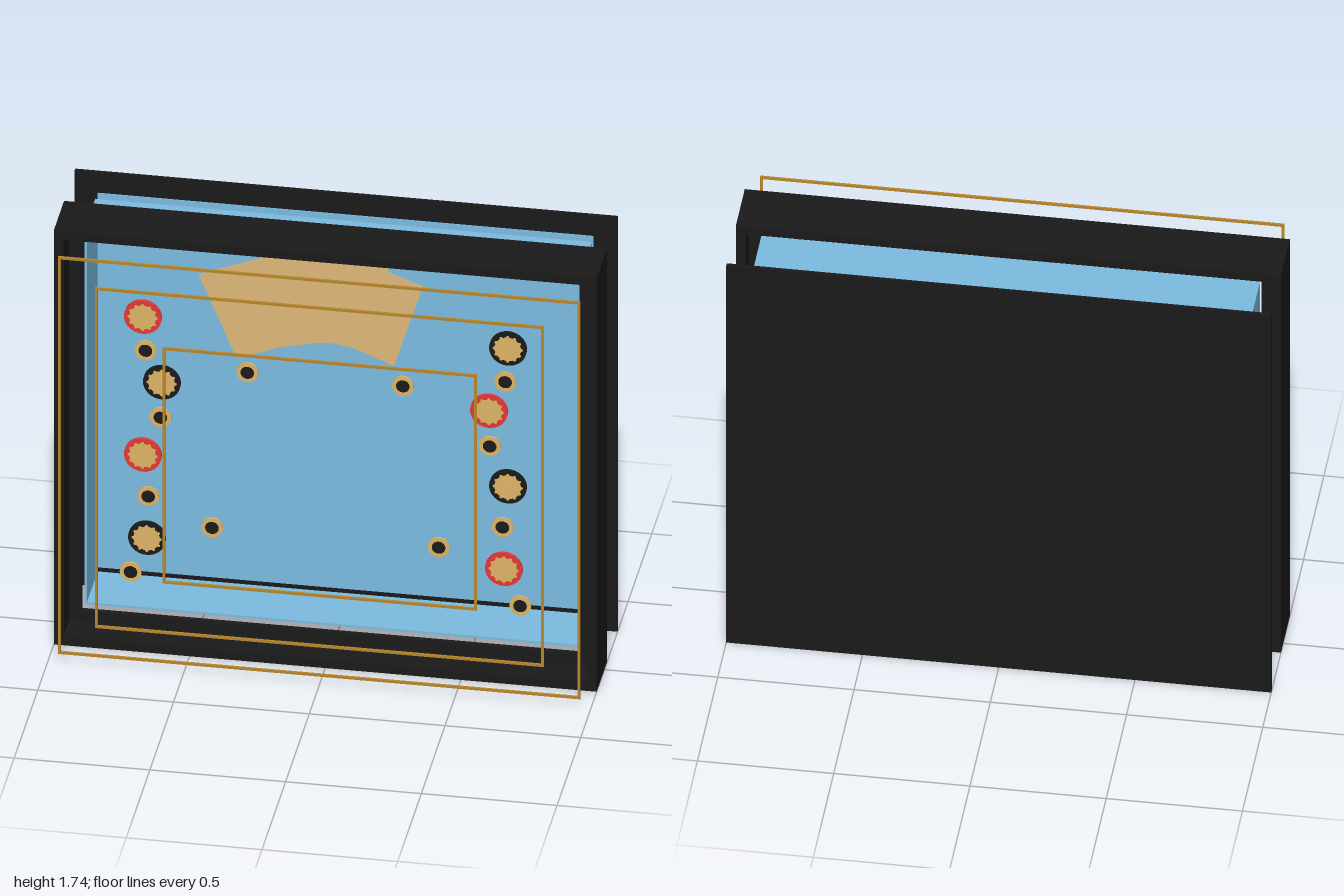
import * as THREE from 'three';

const mat = (name, color) => {
  const m = new THREE.MeshStandardMaterial({ color });
  m.name = name;
  return m;
};

export function createModel() {
  const black = mat('black', 0x1a1a1a);
  const blue = mat('light blue', 0x7dbde2);
  const tan = mat('tan', 0xdfb87a);
  const gold = mat('gold', 0xe0b566);
  const wire = mat('dark gold', 0xb8862b);
  const red = mat('red', 0xe53935);

  const model = new THREE.Group();
  model.name = 'layeredBox';

  const add = (name, geometry, material, x = 0, y = 0, z = 0, parent = model) => {
    const mesh = new THREE.Mesh(geometry, material);
    mesh.name = name;
    mesh.position.set(x, y, z);
    parent.add(mesh);
    return mesh;
  };

  const rect = (Kind, hx, y0, y1) => {
    const r = new Kind();
    r.moveTo(-hx, y0);
    r.lineTo(hx, y0);
    r.lineTo(hx, y1);
    r.lineTo(-hx, y1);
    r.closePath();
    return r;
  };

  // Rectangular border of bar width w, from z0 forward to z1
  const border = (name, hx, y0, y1, w, z0, z1, material) => {
    const shape = rect(THREE.Shape, hx, y0, y1);
    shape.holes.push(rect(THREE.Path, hx - w, y0 + w, y1 - w));
    const g = new THREE.ExtrudeGeometry(shape, { depth: z1 - z0, bevelEnabled: false });
    return add(name, g, material, 0, 0, z0);
  };

  // Front frame: thin deep wall with a narrow lip set back inside it
  border('frameWall', 1, 0, 1.735, 0.036, -0.055, 0.163, black);
  border('frameLip', 0.98, 0.02, 1.715, 0.063, 0.028, 0.045, black);

  // Box sides, panel and back plate
  border('boxSides', 0.915, 0.085, 1.655, 0.009, -0.226, 0, blue);
  add('panel', new THREE.BoxGeometry(1.826, 1.568, 0.004), blue, 0, 0.871, -0.269);
  add('backPlate', new THREE.BoxGeometry(2, 1.735, 0.014), black, 0, 0.8675, -0.286);

  // Thin wire outlines floating in front
  border('outerWire', 0.962, 0.038, 1.702, 0.01, 0.285, 0.293, wire);
  border('middleWire', 0.827, 0.157, 1.583, 0.01, 0.28, 0.288, wire);
  border('innerWire', 0.579, 0.365, 1.353, 0.01, 0.274, 0.282, wire);

  // Fan-shaped scale plate with a stepped top edge, tucked behind the lip
  const fan = new THREE.Shape();
  [[-0.49, 1.525], [-0.35, 1.187], [-0.2, 1.245], [-0.07, 1.278], [0, 1.285], [0.07, 1.275],
    [0.23, 1.213], [0.336, 1.555], [0.21, 1.6], [0.21, 1.618], [0.09, 1.635], [0.085, 1.67],
    [-0.155, 1.67], [-0.157, 1.625], [-0.26, 1.615], [-0.375, 1.57]]
    .forEach(([x, y], i) => (i ? fan.lineTo(x, y) : fan.moveTo(x, y)));
  add('scalePlate', new THREE.ExtrudeGeometry(fan, { depth: 0.003, bevelEnabled: false }),
    tan, 0, 0, 0.025);

  // Upright disc facing forward
  const disc = (r, depth, sides = 32) =>
    new THREE.CylinderGeometry(r, r, depth, sides).rotateX(Math.PI / 2);

  // Terminals: coloured collar, gold face, ring of studs and a centre boss
  const collar = disc(0.069, 0.012);
  const face = disc(0.049, 0.015);
  const stud = disc(0.006, 0.015, 8);
  const boss = disc(0.02, 0.02, 24);
  [[-0.675, 1.395, red], [0.67, 1.395, black], [-0.605, 1.127, black], [0.6, 1.127, red],
    [-0.675, 0.817, red], [0.67, 0.817, black], [-0.66, 0.47, black], [0.655, 0.47, red]]
    .forEach(([x, y, colour]) => {
      const terminal = new THREE.Group();
      terminal.name = 'terminal';
      terminal.position.set(x, y, 0.143);
      model.add(terminal);
      add('collar', collar, colour, 0, 0, 0, terminal);
      add('face', face, gold, 0, 0, 0, terminal);
      add('boss', boss, gold, 0, 0, 0, terminal);
      for (let i = 0; i < 12; i++) {
        const a = (i / 12) * Math.PI * 2;
        add('stud', stud, gold, 0.05 * Math.cos(a), 0.05 * Math.sin(a), 0, terminal);
      }
    });

  // Eyelets: gold washer with a dark centre
  const washer = disc(0.04, 0.008);
  const centre = disc(0.025, 0.01);
  [[-0.665, 1.255], [0.66, 1.255], [-0.61, 0.98], [0.603, 0.98], [-0.655, 0.645], [0.65, 0.645],
    [-0.72, 0.322], [0.715, 0.322], [-0.29, 1.2], [0.283, 1.2], [-0.42, 0.537], [0.415, 0.537]]
    .forEach(([x, y]) => {
      const eyelet = new THREE.Group();
      eyelet.name = 'eyelet';
      eyelet.position.set(x, y, 0.143);
      model.add(eyelet);
      add('washer', washer, gold, 0, 0, 0, eyelet);
      add('centre', centre, black, 0, 0, 0, eyelet);
    });

  return model;
}
